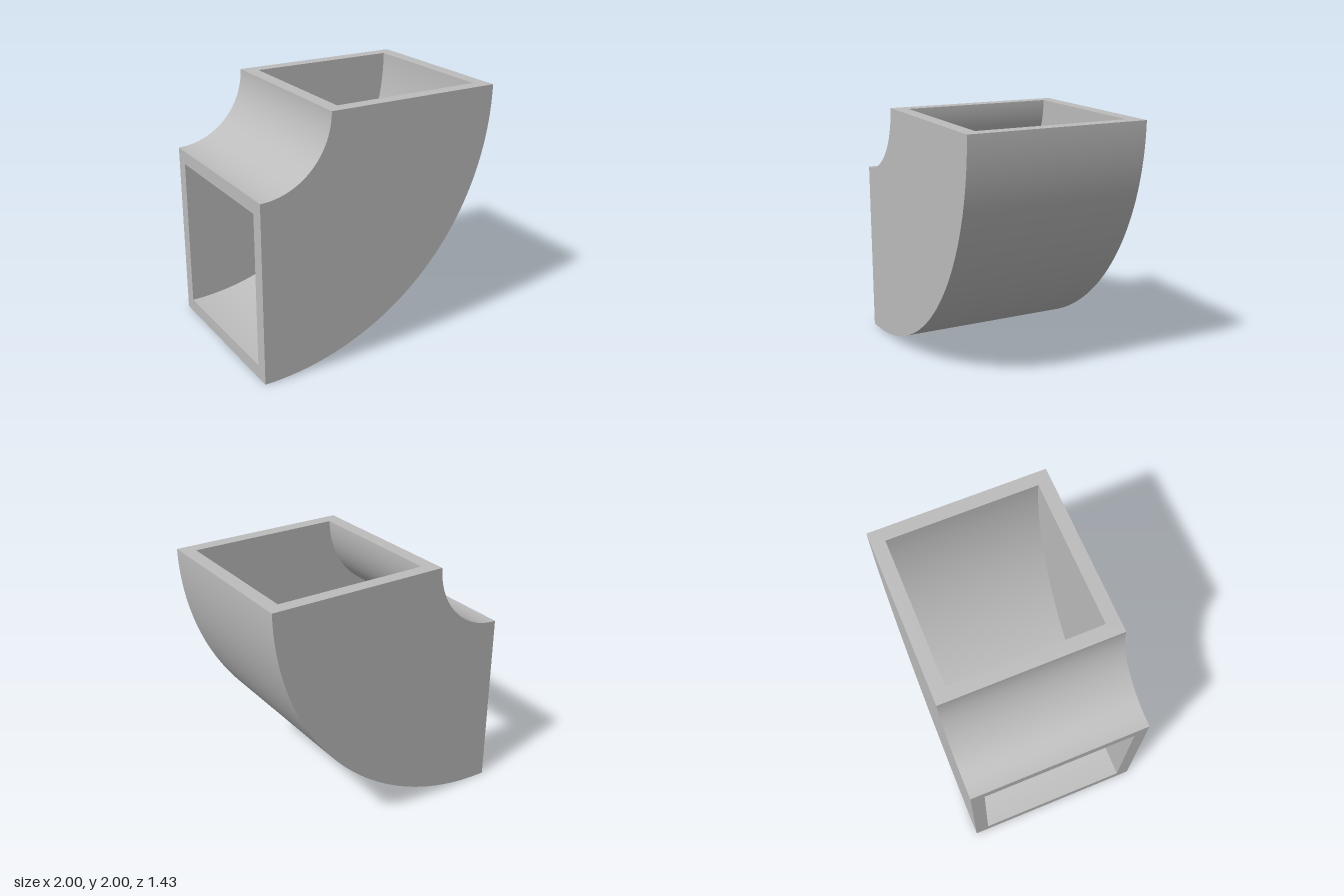
import * as THREE from 'three';

const INNER_R = 0.57, OUTER_R = 2, HALF_W = 0.715, WALL = 0.108;
const SEGMENTS = 64;

// Rectangle corners in the (radius, width) plane, counter-clockwise
function rectangle(inset) {
  const r0 = INNER_R + inset, r1 = OUTER_R - inset, w = HALF_W - inset;
  return [[r0, -w], [r1, -w], [r1, w], [r0, w]].map(([r, z]) => new THREE.Vector2(r, z));
}

export function createModel() {
  const grey = new THREE.MeshStandardMaterial({ color: 0xbcbcbc });
  grey.name = 'ductGrey';

  const elbow = new THREE.Group();
  elbow.name = 'squareDuctElbow';
  elbow.position.set(-1, 2, 0); // centre of the bend

  const add = (name, geometry) => {
    const mesh = new THREE.Mesh(geometry, grey);
    mesh.name = name;
    elbow.add(mesh);
  };

  const outside = rectangle(0);
  const bore = rectangle(WALL).reverse(); // reversed so its walls face inward

  // Sweep each edge of a section through the quarter bend, keeping corners sharp
  const sweep = (section, names) => section.forEach((p, i) => {
    const edge = [p, section[(i + 1) % 4]];
    add(names[i], new THREE.LatheGeometry(edge, SEGMENTS, 0, Math.PI / 2).rotateX(Math.PI / 2));
  });
  sweep(outside, ['backSide', 'outerCurve', 'frontSide', 'innerCurve']);
  sweep(bore, ['boreFront', 'boreOuterCurve', 'boreBack', 'boreInnerCurve']);

  // Flat rims around the two openings
  const rim = new THREE.Shape(outside);
  rim.holes.push(new THREE.Path(bore));
  add('topRim', new THREE.ShapeGeometry(rim).rotateX(-Math.PI / 2));
  add('sideRim', new THREE.ShapeGeometry(rim).rotateY(-Math.PI / 2).rotateX(Math.PI / 2));

  const model = new THREE.Group();
  model.name = 'ductElbow';
  model.add(elbow);
  return model;
}
